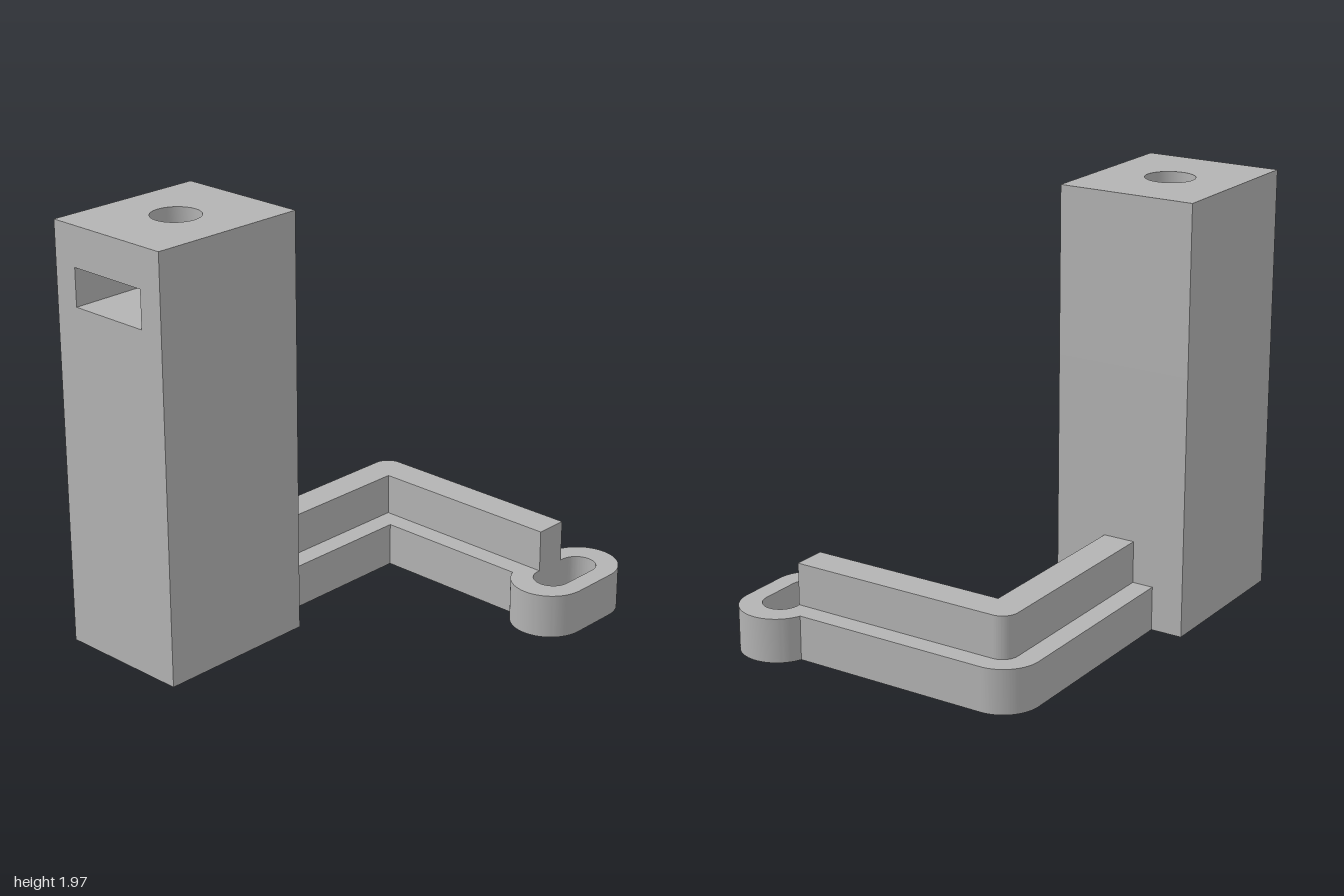
import * as THREE from 'three';
import { toCreasedNormals } from 'three/addons/utils/BufferGeometryUtils.js';

const grey = new THREE.MeshStandardMaterial({ color: 0xb3b3b3 });
grey.name = 'plain grey';

// Plan shapes are drawn with y = -z, then raised from y0 to y1.
function slab(name, shape, y0, y1) {
  let geometry = new THREE.ExtrudeGeometry(shape, { depth: y1 - y0, bevelEnabled: false, curveSegments: 24 });
  geometry.rotateX(-Math.PI / 2);
  geometry.translate(0, y0, 0);
  geometry = toCreasedNormals(geometry, 0.5);
  const mesh = new THREE.Mesh(geometry, grey);
  mesh.name = name;
  return mesh;
}

function polygon(points) {
  return new THREE.Shape(points.map(([x, y]) => new THREE.Vector2(x, y)));
}

const X0 = -0.8, X1 = -0.155, FRONT = -1, BACK = -0.225;
const BOLT = { x: -0.477, y: -0.61, r: 0.112 };

function postOutline(withHole) {
  const s = polygon([[X0, FRONT], [X1, FRONT], [X1, BACK], [X0, BACK]]);
  if (withHole) {
    const hole = new THREE.Path();
    hole.absarc(BOLT.x, BOLT.y, BOLT.r, 0, Math.PI * 2, true);
    s.holes.push(hole);
  }
  return s;
}

function createPost() {
  const post = new THREE.Group();
  post.name = 'post';
  // Nut slot opens to the front and ends in half a hexagon
  const w = 0.203, b = 0.11, deep = BOLT.y + 0.178;
  const slotted = polygon([
    [X0, FRONT], [BOLT.x - w, FRONT], [BOLT.x - w, BOLT.y], [BOLT.x - b, deep],
    [BOLT.x + b, deep], [BOLT.x + w, BOLT.y], [BOLT.x + w, FRONT],
    [X1, FRONT], [X1, BACK], [X0, BACK],
  ]);
  post.add(
    slab('postBody', postOutline(false), 0, 1.2),
    slab('postBoltHole', postOutline(true), 1.2, 1.605),
    slab('postNutSlot', slotted, 1.605, 1.78),
    slab('postTop', postOutline(true), 1.78, 1.965),
  );
  return post;
}

function createArm() {
  const arm = new THREE.Group();
  arm.name = 'arm';

  // Base: L-shaped bar that ends in a rounded eye with a long hole
  const cx = 0.62, r = 0.175, lo = 0.6, hi = 0.825;
  const a = Math.asin((0.885 - hi) / r);
  const base = new THREE.Shape();
  base.moveTo(-0.65, BACK);
  base.lineTo(-0.3, BACK);
  base.lineTo(-0.3, 0.54);
  base.absarc(cx, lo, r, Math.PI + a, Math.PI * 2, false);
  base.absarc(cx, hi, r, 0, Math.PI - a, false);
  base.absarc(-0.475, 0.71, 0.175, Math.PI / 2, Math.PI, false);
  base.closePath();
  const eye = new THREE.Path();
  eye.absarc(cx, 0.62, 0.085, 0, Math.PI, true);
  eye.absarc(cx, 0.805, 0.085, Math.PI, 0, true);
  eye.closePath();
  base.holes.push(eye);

  // Ridge: narrower L on top of the base
  const ridge = new THREE.Shape();
  ridge.moveTo(-0.55, BACK);
  ridge.lineTo(-0.4, BACK);
  ridge.lineTo(-0.4, 0.635);
  ridge.lineTo(0.535, 0.635);
  ridge.lineTo(0.535, 0.79);
  ridge.absarc(-0.475, 0.715, 0.075, Math.PI / 2, Math.PI, false);
  ridge.closePath();

  arm.add(slab('armBase', base, 0, 0.205), slab('armRidge', ridge, 0.205, 0.4));
  return arm;
}

export function createModel() {
  const model = new THREE.Group();
  model.name = 'bracket';
  model.add(createPost(), createArm());
  return model;
}
